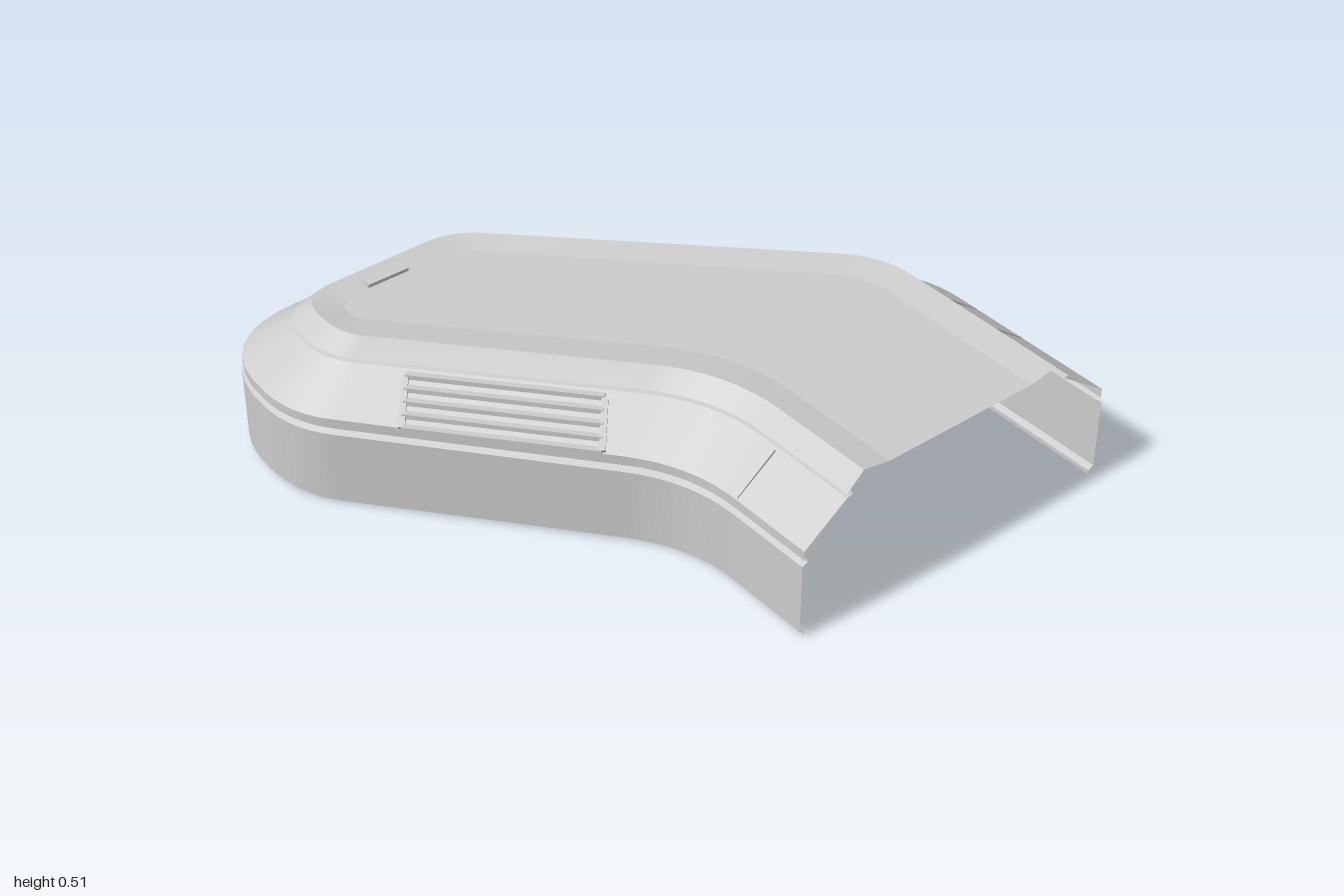
import * as THREE from 'three';

const mat = new THREE.MeshStandardMaterial({ color: 0xcccccc, side: THREE.DoubleSide });
const V = (x, y, z) => new THREE.Vector3(x, y, z);
const mix = (a, b, t) => a.map((v, i) => v + (b[i] - v) * t);

// Open outline with rounded corners; each corner is [x, z, rounding length]
function outline(corners) {
  const out = [corners[0].slice(0, 2)];
  for (let i = 1; i < corners.length - 1; i++) {
    const p = new THREE.Vector2(...corners[i]), r = corners[i][2];
    const toward = (c) => {
      const d = new THREE.Vector2(c[0], c[1]).sub(p);
      return d.setLength(Math.min(r, d.length())).add(p);
    };
    const curve = new THREE.QuadraticBezierCurve(toward(corners[i - 1]), p, toward(corners[i + 1]));
    curve.getPoints(8).forEach((q) => out.push([q.x, q.y]));
  }
  out.push(corners[corners.length - 1].slice(0, 2));
  return out;
}

// Inner outlines have a straight right flank: add plain points to match the outer one
function innerOutline(c) {
  const flank = [0.24, 0.32, 0.68, 0.78].map((t) => [...mix(c[4].slice(0, 2), c[5].slice(0, 2), t), 0]);
  return outline([...c.slice(0, 5), ...flank, ...c.slice(5)]);
}

const blend = (a, b, t) => a.map((p, i) => mix(p, b[i], t));

// Ribbon between two outlines at two heights
function band(name, a, ya, b, yb) {
  const pos = [], idx = [];
  a.forEach((p, i) => {
    pos.push(p[0], ya, p[1], b[i][0], yb, b[i][1]);
    if (i) {
      const k = i * 2;
      idx.push(k - 2, k - 1, k, k, k - 1, k + 1);
    }
  });
  const g = new THREE.BufferGeometry();
  g.setAttribute('position', new THREE.Float32BufferAttribute(pos, 3));
  g.setIndex(idx);
  g.computeVertexNormals();
  const m = new THREE.Mesh(g, mat);
  m.name = name;
  return m;
}

// Straight box bar between two points
function bar(name, p, q, w, h) {
  const m = new THREE.Mesh(new THREE.BoxGeometry(w, h, p.distanceTo(q)), mat);
  m.position.copy(p).lerp(q, 0.5);
  m.lookAt(q);
  m.name = name;
  return m;
}

// Louvre panel: slats from the lower edge (a-b) to the upper edge (c-d), plus two end bars
function vent(name, a, b, c, d, slats, w) {
  const g = new THREE.Group();
  g.name = name;
  for (let i = 0; i < slats; i++) {
    const t = i / (slats - 1);
    g.add(bar('slat', a.clone().lerp(c, t), b.clone().lerp(d, t), w, 0.016));
  }
  g.add(bar('ventEnd', a, c, w, 0.016), bar('ventEnd', b, d, w, 0.016));
  return g;
}

export function createModel() {
  const model = new THREE.Group();
  model.name = 'bentCanopy';

  const wall = outline([
    [-0.22, 0.96], [-0.22, 0.46, 0.2], [-1, -0.485, 0.13], [-1, -0.97, 0.34], [-0.08, -0.97, 0.15],
    [0.18, -0.71, 0.06], [0.18, -0.54, 0.05], [0.57, -0.13, 0.04], [0.69, -0.13, 0.06],
    [1, 0.18, 0.15], [1, 0.96],
  ]);
  const rimOuter = innerOutline([
    [-0.06, 0.96], [-0.06, 0.38, 0.22], [-0.84, -0.515, 0.09], [-0.84, -0.81, 0.18],
    [-0.17, -0.81, 0.12], [0.83, 0.21, 0.14], [0.83, 0.96],
  ]);
  const rimTop = innerOutline([
    [0, 0.96], [0, 0.37, 0.23], [-0.78, -0.51, 0.07], [-0.78, -0.75, 0.13],
    [-0.2, -0.755, 0.1], [0.77, 0.21, 0.13], [0.77, 0.96],
  ]);
  const deck = innerOutline([
    [0.1, 0.96], [0.1, 0.3, 0.25], [-0.69, -0.57, 0.03], [-0.69, -0.66, 0.05],
    [-0.21, -0.66, 0.08], [0.67, 0.24, 0.1], [0.67, 0.96],
  ]);

  // Cross-section from the foot of the wall to the roof: name, outline, height
  const inset = (t) => blend(wall, rimOuter, t);
  const groove = blend(rimOuter, rimTop, 0.35);
  const section = [
    ['foot', inset(0.12), 0],
    ['footBevel', inset(0.12), 0.015],
    ['wall', wall, 0.025],
    ['wallTop', wall, 0.27],
    ['grooveLower', inset(0.12), 0.28],
    ['grooveUpper', inset(0.12), 0.288],
    ['skirt', inset(0.03), 0.293],
    ['slope', inset(0.03), 0.325],
    ['slopeTop', rimOuter, 0.44],
    ['rimGroove', groove, 0.444],
    ['rimUnderside', groove, 0.452],
    ['rimEdge', rimOuter, 0.455],
    ['rim', rimTop, 0.513],
    ['deckEdge', deck, 0.495],
  ];
  for (let i = 0; i < section.length - 1; i++) {
    const [name, a, ya] = section[i], [, b, yb] = section[i + 1];
    model.add(band(name, a, ya, b, yb));
  }

  // Flat roof deck
  const shape = new THREE.Shape(deck.map(([x, z]) => new THREE.Vector2(x, -z)));
  const floor = new THREE.Mesh(new THREE.ShapeGeometry(shape).rotateX(-Math.PI / 2), mat);
  floor.position.y = 0.495;
  floor.name = 'roofDeck';
  model.add(floor);

  // Louvres on the two long flanks
  model.add(vent('louvreA', V(-0.78, 0.335, -0.21), V(-0.385, 0.335, 0.255),
    V(-0.69, 0.43, -0.31), V(-0.29, 0.43, 0.15), 5, 0.02));
  model.add(vent('louvreB', V(0.22, 0.34, -0.5), V(0.555, 0.34, -0.145),
    V(0.17, 0.435, -0.455), V(0.52, 0.435, -0.1), 3, 0.014));

  // Seams between the sloping panels near the open end
  for (const z of [0.42, 0.62]) {
    model.add(bar('panelSeam', V(0.985, 0.327, z), V(0.84, 0.434, z), 0.012, 0.012));
  }
  model.add(bar('panelSeam', V(-0.21, 0.327, 0.66), V(-0.07, 0.434, 0.66), 0.012, 0.012));

  // Trim strip and small hatch at the rounded end
  model.add(bar('endTrim', V(-0.62, 0.398, -0.87), V(-0.25, 0.398, -0.87), 0.014, 0.012));
  model.add(bar('hatch', V(-0.57, 0.5, -0.7), V(-0.42, 0.5, -0.7), 0.05, 0.018));

  return model;
}
